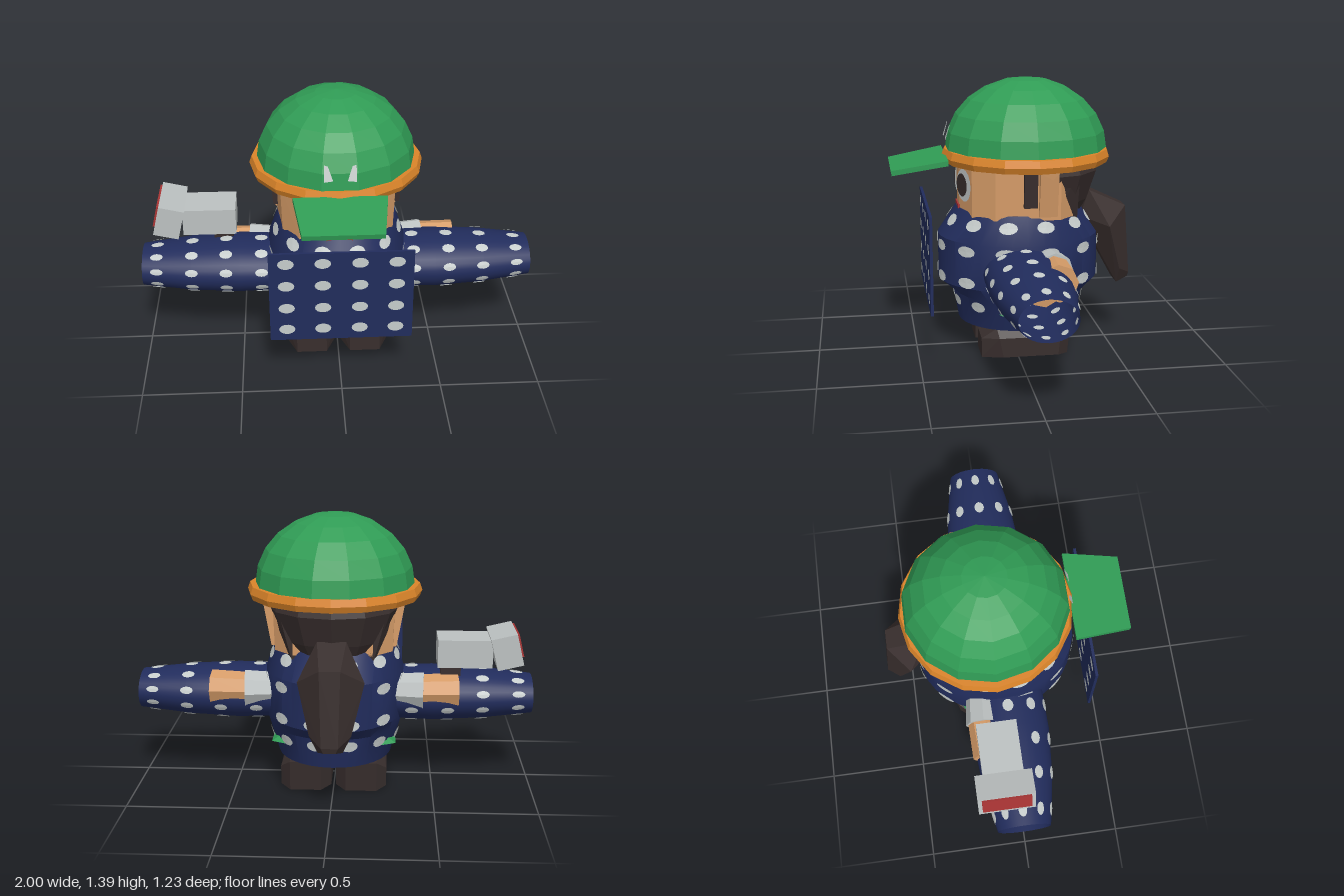
import * as THREE from 'three';
import { toCreasedNormals } from 'three/addons/utils/BufferGeometryUtils.js';
import { ConvexGeometry } from 'three/addons/geometries/ConvexGeometry.js';

const paint = (name, color, opts = {}) => {
  const m = new THREE.MeshStandardMaterial({ color, ...opts });
  m.name = name;
  return m;
};

export function createModel() {
  const D = THREE.DoubleSide;
  const green = paint('green', 0x309c55, { side: D, flatShading: true });
  const orange = paint('orange', 0xda8429, { side: D, flatShading: true });
  const navy = paint('navy', 0x212c5c, { side: D });
  const pale = paint('pale spots', 0xc6cccb, { side: D });
  const skin = paint('skin', 0xd69c68, { flatShading: true });
  const dark = paint('dark brown', 0x382e2d, { side: D, flatShading: true });
  const red = paint('red', 0xa83434, { flatShading: true });
  const grey = paint('grey', 0xbcc1c1, { flatShading: true });

  const model = new THREE.Group();
  const add = (name, geo, mat, pos = [0, 0, 0], rot = [0, 0, 0], parent = model) => {
    const m = new THREE.Mesh(geo, mat);
    m.name = name;
    m.position.set(...pos);
    m.rotation.set(...rot);
    parent.add(m);
    return m;
  };
  const box = (x, y, z) => new THREE.BoxGeometry(x, y, z);
  const hull = (pts) => new ConvexGeometry(pts.map((p) => new THREE.Vector3(...p)));
  const mirrored = (pts) => hull(pts.flatMap(([x, y, z]) => [[x, y, z], [-x, y, z]]));

  // Tapered prism between two points
  const limb = (name, a, b, r0, r1, sides, mat) => {
    const p = new THREE.Vector3(...a), q = new THREE.Vector3(...b);
    const m = add(name, new THREE.CylinderGeometry(r1, r0, p.distanceTo(q), sides), mat);
    m.position.copy(p).add(q).multiplyScalar(0.5);
    m.quaternion.setFromUnitVectors(new THREE.Vector3(0, 1, 0), q.sub(p).normalize());
  };

  // Oval tube along y from sections [height, x radius, z radius], lowest first
  const tube = (sections) => {
    const n = sections.length - 1;
    const g = new THREE.CylinderGeometry(1, 1, 1, 32, n, true);
    const p = g.attributes.position;
    for (let i = 0; i < p.count; i++) {
      const [t, rx, rz] = sections[Math.round((p.getY(i) + 0.5) * n)];
      p.setXYZ(i, p.getX(i) * rx, t, p.getZ(i) * rz);
    }
    return toCreasedNormals(g, 0.5);
  };

  // Oval spots lying on such a tube, in rows and columns
  const spots = (sections, rows, columns, du, dt, offsets) => {
    const at = (u, t, lift) => {
      let k = 0;
      while (k < sections.length - 2 && t > sections[k + 1][0]) k++;
      const [a, b] = [sections[k], sections[k + 1]];
      const f = (t - a[0]) / (b[0] - a[0]);
      const r = (j) => a[j] + (b[j] - a[j]) * f + lift;
      return [r(1) * Math.sin(u), t, r(2) * Math.cos(u)];
    };
    const v = [];
    for (const lift of offsets) for (const t of rows) for (let c = 0; c < columns; c++) {
      const u = ((c + 0.5) / columns) * Math.PI * 2;
      const rim = (i) => at(u + du * Math.cos(i * Math.PI / 6), t + dt * Math.sin(i * Math.PI / 6), lift);
      for (let i = 0; i < 12; i++) v.push(...at(u, t, lift), ...rim(i), ...rim(i + 1));
    }
    const g = new THREE.BufferGeometry();
    g.setAttribute('position', new THREE.Float32BufferAttribute(v, 3));
    g.computeVertexNormals();
    return g;
  };

  // Robe
  const robe = [[0.155, 0.29, 0.308], [0.31, 0.335, 0.333], [0.375, 0.35, 0.41],
    [0.605, 0.35, 0.41], [0.745, 0.3, 0.315]];
  add('robe', tube(robe), navy, [0, 0, -0.03]);
  add('robeSpots', spots(robe, [0.69, 0.565, 0.405, 0.27], 12, 0.13, 0.028, [0.006]), pale, [0, 0, -0.03]);
  const collar = add('robeTop', new THREE.CircleGeometry(1, 32), navy, [0, 0.745, -0.03], [-Math.PI / 2, 0, 0]);
  collar.scale.set(0.3, 0.315, 1);
  const lining = add('robeLining', new THREE.CircleGeometry(1, 24), green, [0, 0.165, -0.03], [Math.PI / 2, 0, 0]);
  lining.scale.set(0.285, 0.3, 1);
  const sash = add('sash', new THREE.CylinderGeometry(0.28, 0.36, 0.045, 6), green, [0, 0.267, -0.06]);
  sash.scale.z = 0.85;

  // Spotted panel hanging in front
  add('frontPanel', box(0.7, 0.495, 0.014), navy, [0, 0.523, 0.44]);
  const dot = new THREE.CircleGeometry(1, 14);
  for (const z of [0.431, 0.449]) for (const x of [-0.267, -0.09, 0.09, 0.267])
    for (const y of [0.714, 0.59, 0.463, 0.34])
      add('panelSpot', dot, pale, [x, y, z]).scale.set(0.04, 0.028, 1);

  // Sleeves, arms, legs and shoes
  const sleeve = [[0.28, 0.13, 0.195], [0.5, 0.137, 0.2], [0.75, 0.125, 0.18], [1, 0.098, 0.135]];
  const sleeveGeo = tube(sleeve);
  const sleeveSpots = spots(sleeve, [0.39, 0.57, 0.745, 0.925], 10, 0.14, 0.033, [0.005, -0.005]);
  for (const s of [1, -1]) {
    const side = s > 0 ? 'left' : 'right';
    const turn = [0, 0, -s * Math.PI / 2];
    add(side + 'Sleeve', sleeveGeo, navy, [0, 0.458, -0.012], turn);
    add(side + 'SleeveSpots', sleeveSpots, pale, [0, 0.458, -0.012], turn);
    limb(side + 'Cuff', [s * 0.28, 0.5, -0.13], [s * 0.45, 0.5, -0.14], 0.085, 0.098, 8, grey);
    limb(side + 'Wrist', [s * 0.44, 0.5, -0.14], [s * 0.62, 0.5, -0.13], 0.085, 0.092, 8, skin);
    limb(side + 'Hand', [s * 0.54, 0.485, -0.07], [s * 0.66, 0.475, -0.045], 0.095, 0.075, 8, skin);
    limb(side + 'Leg', [s * 0.13, 0.1, -0.05], [s * 0.13, 0.25, -0.05], 0.08, 0.08, 8, skin);
    const shoe = [];
    for (const [x, c] of [[0.012, 0.05], [0.268, 0.05]]) {
      const inward = x < 0.1 ? c : -c;
      shoe.push([x, 0.01, 0.08], [x, 0.01, -0.2], [x, 0.11, 0.1], [x, 0.11, -0.21],
        [x + inward, 0, 0.185], [x + inward, 0.1, 0.185], [x + inward * 0.6, 0.155, 0.11],
        [x + inward, 0.155, -0.27], [x + inward, 0, -0.255]);
    }
    add(side + 'Shoe', hull(shoe.map(([x, y, z]) => [s * x, y, z])), dark);

    // Face details on each side
    const eye = new THREE.Group();
    eye.name = side + 'Eye';
    eye.position.set(s * 0.123, 0.872, 0.255);
    eye.rotation.y = s * 0.34;
    model.add(eye);
    const disc = new THREE.CircleGeometry(1, 16);
    add('eyeWhite', disc, pale, [0, 0, 0.004], [0, 0, 0], eye).scale.set(0.079, 0.082, 1);
    add('pupil', disc, dark, [-s * 0.012, 0, 0.009], [0, 0, 0], eye).scale.set(0.058, 0.058, 1);
    add(side + 'Sideburn', box(0.04, 0.18, 0.065), dark, [s * 0.308, 0.88, -0.047], [0, 0, -s * 0.08]);
    add(side + 'Ear', hull([0.29, 0.31].flatMap((x, i) => [
      [s * x, 0.74, -0.09], [s * x, 0.74, -0.18], [s * (x + i * 0.04), 0.965, -0.09], [s * (x + i * 0.04), 0.965, -0.18],
      [s * (x + i * 0.035), 0.93, -0.15]])), skin);

    // Pale fang marks on the cap
    const fang = new THREE.Shape([[0.078, -0.04], [0.034, -0.035], [0.058, 0.036], [0.076, 0.042]]
      .map(([x, y]) => new THREE.Vector2(s * x, y)));
    add(side + 'CapMark', new THREE.ShapeGeometry(fang), pale, [0, 1.13, 0.33], [-0.3, 0, 0]);
  }

  // Head and mouth
  add('head', mirrored([[0.055, 0.275], [0.2, 0.226], [0.285, 0.12], [0.31, -0.05], [0.3, -0.2], [0.2, -0.3]]
    .flatMap(([x, z]) => [[x * 0.97, 0.72, z], [x, 0.98, z]])), skin);
  add('mouth', box(0.13, 0.025, 0.08), red, [0, 0.75, 0.242]);

  // Hair at the back and ponytail
  const hair = new THREE.LatheGeometry([[0, 0.69], [0.18, 0.69], [0.235, 0.785], [0.285, 0.935], [0.27, 0.985]]
    .map((p) => new THREE.Vector2(...p)), 6, Math.PI / 2, Math.PI);
  add('backHair', hair, dark, [0, 0, -0.155]).scale.x = 1.12;
  add('backHairSides', mirrored([[0.26, 0.7, -0.17], [0.31, 0.97, -0.17], [0.2, 0.7, -0.3], [0.27, 0.97, -0.3]]), dark);
  add('ponytail', mirrored([[0.07, 0.815, -0.39], [0.05, 0.725, -0.585], [0.16, 0.64, -0.48], [0.06, 0.68, -0.345],
    [0.04, 0.36, -0.615], [0.03, 0.335, -0.61], [0.06, 0.315, -0.545], [0.1, 0.4, -0.55]]), dark);

  // Cap: dome, rolled rim, underside and visor
  const dome = add('capDome', new THREE.SphereGeometry(0.41, 14, 6, 0, Math.PI * 2, 0, Math.PI / 2), green, [0, 1.03, -0.07]);
  dome.scale.set(0.97, 0.36 / 0.41, 1);
  const rim = new THREE.LatheGeometry([[0, 0.985], [0.39, 0.972], [0.415, 0.975], [0.427, 1.005], [0.415, 1.04], [0.38, 1.04]]
    .map((p) => new THREE.Vector2(...p)), 16);
  add('capRim', rim, orange, [0, 0, -0.07]).scale.x = 1.02;
  add('visor', mirrored([[0.225, 1.015, 0.34], [0.225, 0.99, 0.34], [0.19, 0.967, 0.617], [0.19, 0.942, 0.612]]), green);

  // Hand-held blaster with a tilted flared head
  add('blasterBody', box(0.27, 0.14, 0.2), grey, [-0.65, 0.705, -0.09]);
  add('blasterGrip', box(0.1, 0.06, 0.1), dark, [-0.583, 0.61, -0.09]);
  const head = new THREE.Group();
  head.name = 'blasterHead';
  head.position.set(-0.852, 0.727, -0.09);
  head.rotation.z = -0.24;
  model.add(head);
  add('headCase', box(0.13, 0.16, 0.28), grey, [0, 0, 0], [0, 0, 0], head);
  add('redLens', box(0.012, 0.115, 0.24), red, [-0.069, 0.015, 0], [0, 0, 0], head);
  return model;
}
